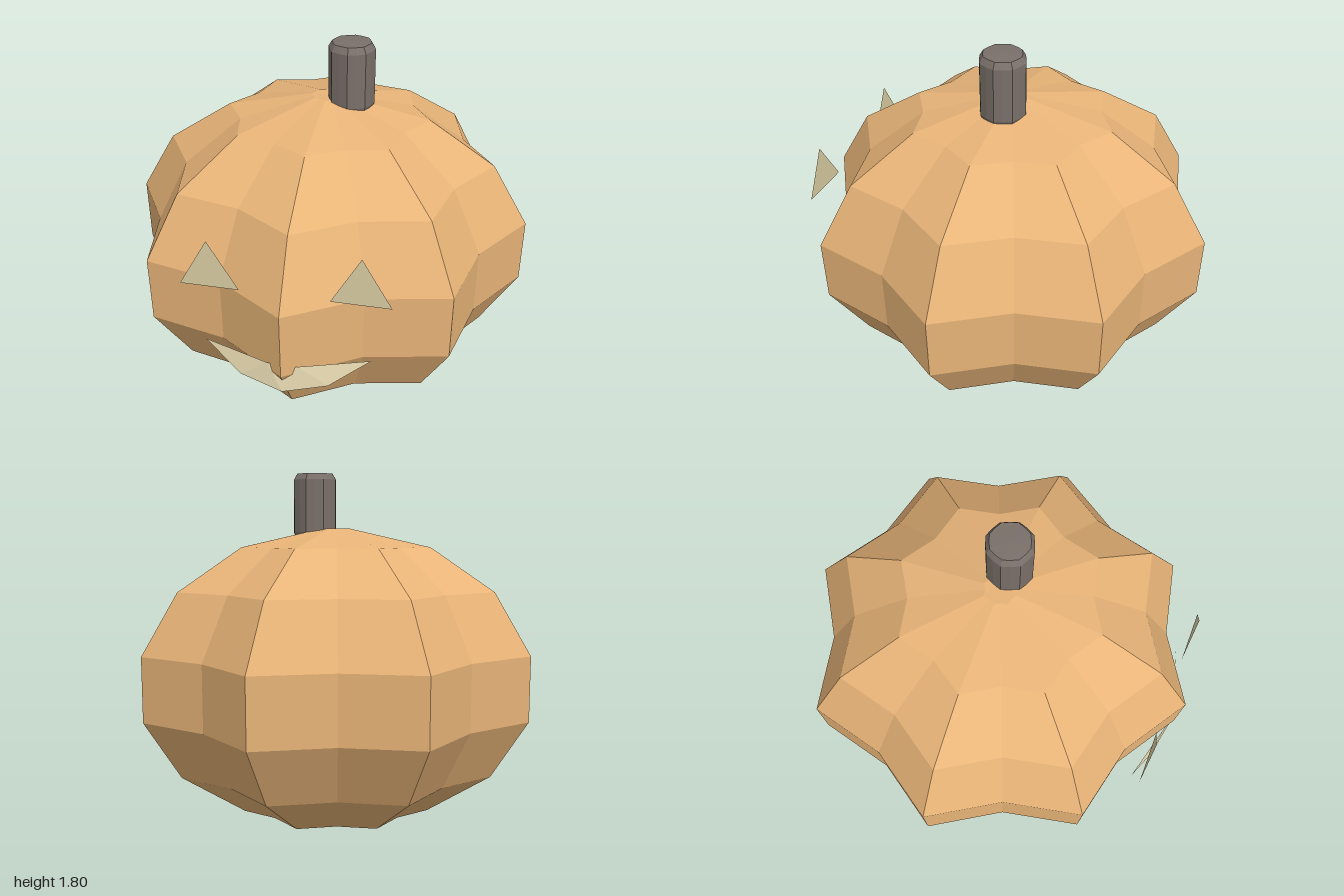
import * as THREE from 'three';

const mat = (color, flatShading = true) =>
  new THREE.MeshStandardMaterial({ color, flatShading, side: THREE.DoubleSide });

// Lathe with 8 ridges; every second column is pulled in to form a groove
function ribbed(profile, groove) {
  const pts = profile.map(([r, y]) => new THREE.Vector2(r, y));
  const geo = new THREE.LatheGeometry(pts, 16);
  const p = geo.attributes.position;
  for (let i = 0; i < p.count; i++) {
    if (Math.floor(i / pts.length) % 2) {
      p.setX(i, p.getX(i) * groove);
      p.setZ(i, p.getZ(i) * groove);
    }
  }
  geo.computeVertexNormals();
  return geo;
}

// Triangles from a short list of points and corner indices
function sheet(points, index) {
  const geo = new THREE.BufferGeometry();
  geo.setAttribute('position', new THREE.Float32BufferAttribute(points.flat(), 3));
  geo.setIndex(index);
  geo.computeVertexNormals();
  return geo;
}

export function createModel() {
  const group = new THREE.Group();
  const add = (name, geo, material) => {
    const mesh = new THREE.Mesh(geo, material);
    mesh.name = name;
    group.add(mesh);
    return mesh;
  };

  // Ribbed body
  add('pumpkinBody', ribbed([
    [0, 0.003], [0.08, 0], [0.5, 0.1], [0.82, 0.31], [1, 0.6],
    [1, 0.92], [0.82, 1.22], [0.5, 1.43], [0.08, 1.52], [0, 1.517],
  ], 0.857), mat(0xe8b478));

  // Off-centre stem with a bevelled top
  add('stem', ribbed([
    [0, 1.485], [0.108, 1.485], [0.113, 1.5], [0.113, 1.765], [0.095, 1.795], [0, 1.8],
  ], 0.95), mat(0x7a706a)).position.x = 0.113;

  // Flat triangular eyes
  const pale = mat(0xdccfa4);
  for (const [name, x] of [['leftEye', 0.333], ['rightEye', -0.333]]) {
    add(name, sheet([
      [x - 0.133, 0.97, 0.905], [x + 0.133, 0.97, 0.905], [x, 1.2, 0.905],
    ], [0, 1, 2]), pale);
  }

  // Mouth: a thin sheet bent around the front ridge
  add('mouth', sheet([
    [-0.38, 0.658, 0.88], [-0.2, 0.543, 0.95], [0, 0.508, 0.99], [0.2, 0.543, 0.95],
    [0.38, 0.658, 0.88], [0.07, 0.64, 0.963], [0, 0.63, 0.965], [-0.07, 0.64, 0.963],
  ], [0, 1, 7, 1, 2, 7, 7, 2, 6, 6, 2, 5, 2, 3, 5, 3, 4, 5]), mat(0xe6d8b0));

  return group;
}
